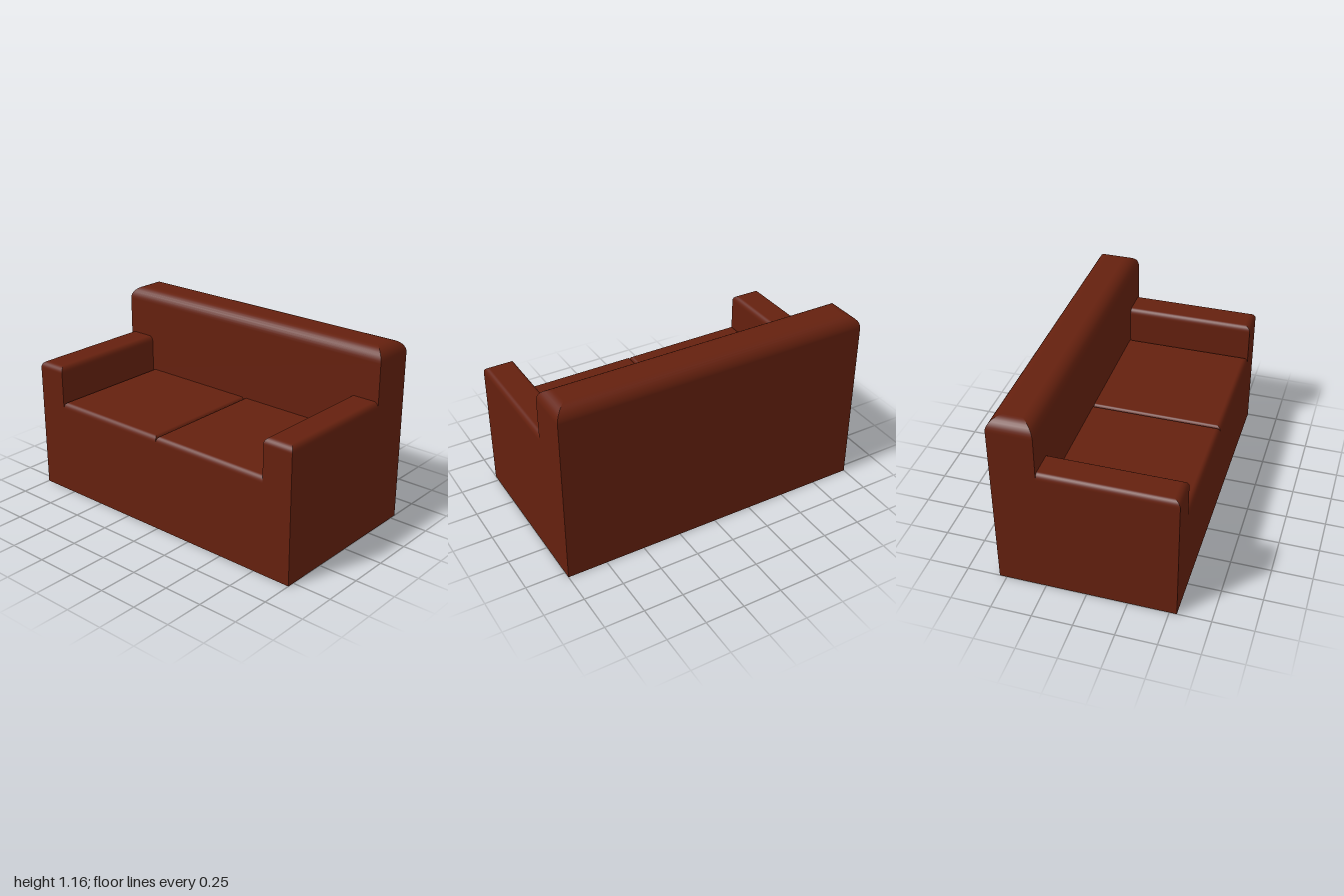
import * as THREE from 'three';

const leather = new THREE.MeshStandardMaterial({ color: 0x64200e, roughness: 0.8 });
const FLOOR = 0.57; // height of the plain body under arms, seats and back

// Upright block whose four top edges are rounded with mitred corners.
// r = [rx, ry, rz]: rounding across x, down y and across z.
function paddedBlock(name, [x0, x1], [y0, y1], [z0, z1], [rx, ry, rz], steps = 8) {
  const pos = [], nor = [], idx = [];
  const cx = (x0 + x1) / 2, cz = (z0 + z1) / 2, hx = (x1 - x0) / 2, hz = (z1 - z0) / 2;
  const corners = [[-1, 1], [1, 1], [1, -1], [-1, -1]];
  const rows = [{ y: y0, a: 0 }];
  for (let i = 0; i <= steps; i++) {
    const a = (i / steps) * Math.PI / 2;
    rows.push({ y: y1 - ry + ry * Math.sin(a), a });
  }
  const put = ([sx, sz], { y, a }, n) => {
    const k = 1 - Math.cos(a);
    pos.push(cx + sx * (hx - rx * k), y, cz + sz * (hz - rz * k));
    nor.push(...n);
  };
  // Four sides, each running up and over its rounded edge
  corners.forEach((c, k) => {
    const d = corners[(k + 1) % 4], base = pos.length / 3;
    const dx = (c[0] + d[0]) / 2, dz = (c[1] + d[1]) / 2;
    const r = dx ? rx : rz;
    rows.forEach((row, i) => {
      const n = new THREE.Vector3(dx * Math.cos(row.a) / r, Math.sin(row.a) / ry, dz * Math.cos(row.a) / r).normalize();
      put(c, row, n.toArray());
      put(d, row, n.toArray());
      if (i) {
        const p = base + (i - 1) * 2;
        idx.push(p, p + 1, p + 3, p, p + 3, p + 2);
      }
    });
  });
  // Flat top
  const t = pos.length / 3;
  corners.forEach(c => put(c, rows[rows.length - 1], [0, 1, 0]));
  idx.push(t, t + 1, t + 2, t, t + 2, t + 3);

  const geo = new THREE.BufferGeometry();
  geo.setAttribute('position', new THREE.Float32BufferAttribute(pos, 3));
  geo.setAttribute('normal', new THREE.Float32BufferAttribute(nor, 3));
  geo.setIndex(idx);
  const mesh = new THREE.Mesh(geo, leather);
  mesh.name = name;
  return mesh;
}

export function createModel() {
  const sofa = new THREE.Group();
  sofa.name = 'sofa';

  // Plain body down to the floor
  const body = new THREE.Mesh(new THREE.BoxGeometry(2, FLOOR, 1.09), leather);
  body.name = 'body';
  body.position.y = FLOOR / 2;
  sofa.add(body);

  // Backrest across the full width
  sofa.add(paddedBlock('backrest', [-1, 1], [FLOOR, 1.16], [-0.545, -0.272], [0.08, 0.08, 0.08]));

  // Arms and seat cushions, their rear ends tucked into the backrest
  for (const [side, s] of [['left', 1], ['right', -1]]) {
    const span = (a, b) => (s > 0 ? [a, b] : [-b, -a]);
    sofa.add(paddedBlock(side + 'Arm', span(0.805, 1), [FLOOR, 0.845], [-0.33, 0.545], [0.03, 0.04, 0.04]));
    sofa.add(paddedBlock(side + 'SeatCushion', span(0, 0.805), [FLOOR, 0.612], [-0.33, 0.545], [0.02, 0.04, 0.03]));
  }
  return sofa;
}
